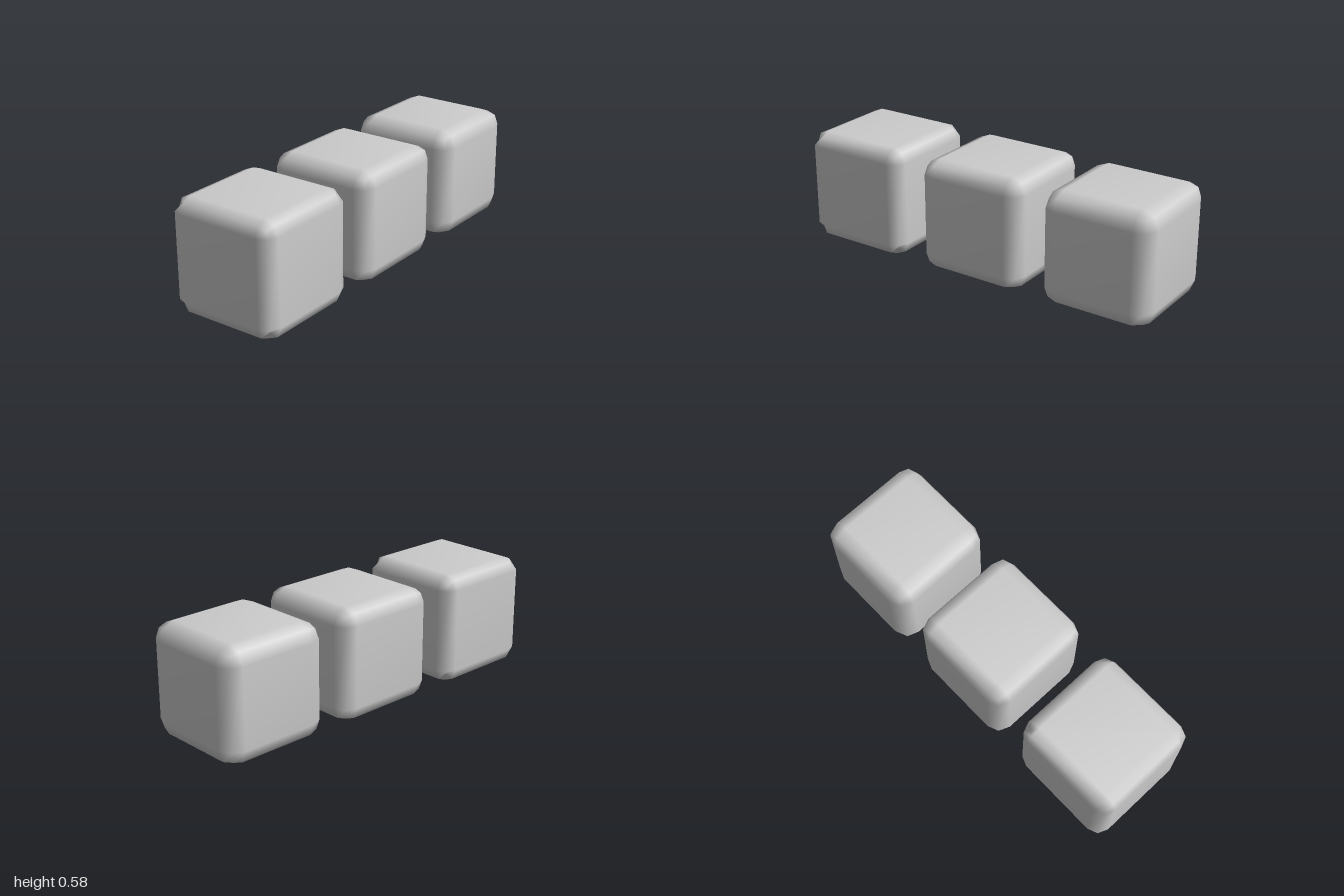
import * as THREE from 'three';
import { RoundedBoxGeometry } from 'three/addons/geometries/RoundedBoxGeometry.js';
import { mergeVertices } from 'three/addons/utils/BufferGeometryUtils.js';

const SIZE = 0.583;

// Cube with a two-segment bevel; cornerOffset, if given, pulls the eight corner points inward
function bevelledCube(radius, cornerOffset) {
  let geometry = new RoundedBoxGeometry(SIZE, SIZE, SIZE, 1, radius);
  geometry.deleteAttribute('normal');
  geometry.deleteAttribute('uv');
  geometry.clearGroups();
  geometry = mergeVertices(geometry, 1e-4);

  if (cornerOffset !== undefined) {
    const flat = SIZE / 2 - radius;
    const p = geometry.attributes.position;
    for (let i = 0; i < p.count; i++) {
      const v = [p.getX(i), p.getY(i), p.getZ(i)];
      if (v.every((c) => Math.abs(c) > flat + 0.01)) {
        p.setXYZ(i, ...v.map((c) => Math.sign(c) * (flat + cornerOffset)));
      }
    }
  }
  geometry.computeVertexNormals();
  return geometry;
}

export function createModel() {
  const group = new THREE.Group();
  group.name = 'bevelledCubes';
  const material = new THREE.MeshStandardMaterial({ color: 0xcccccc });

  const cubes = [
    { name: 'rightCube', x: -0.7085, radius: 0.072, cornerOffset: 0.026 }, // pinched corners
    { name: 'middleCube', x: 0.008, radius: 0.08 },
    { name: 'leftCube', x: 0.7085, radius: 0.088 },
  ];
  for (const { name, x, radius, cornerOffset } of cubes) {
    const mesh = new THREE.Mesh(bevelledCube(radius, cornerOffset), material);
    mesh.name = name;
    mesh.position.set(x, SIZE / 2, 0);
    group.add(mesh);
  }
  return group;
}
